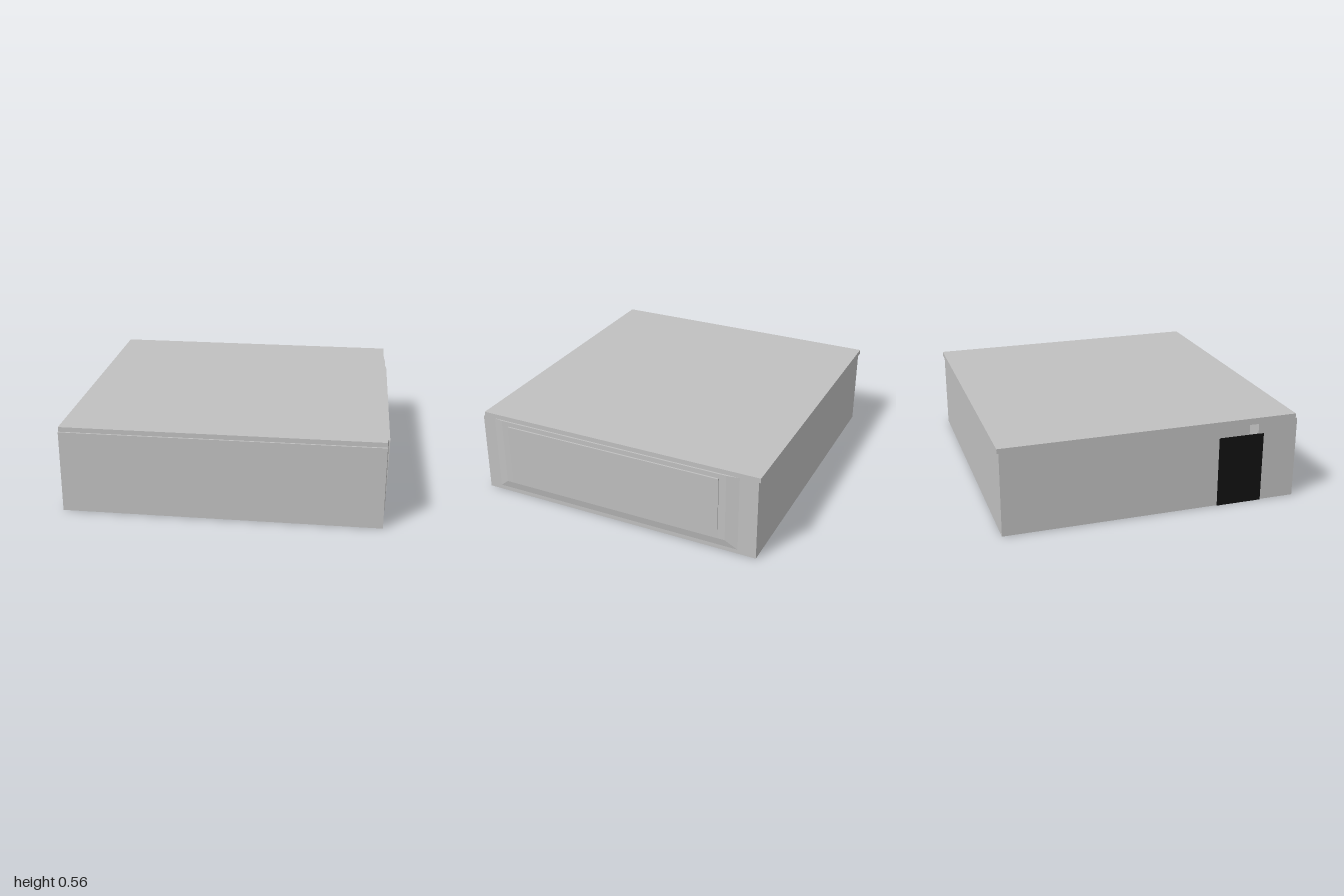
import * as THREE from 'three';

const mat = (name, color) => {
  const m = new THREE.MeshStandardMaterial({ color });
  m.name = name;
  return m;
};

export function createModel() {
  const group = new THREE.Group();
  const grey = mat('grey', 0xc0c0c0);
  const olive = mat('olive', 0xd8cfa6);
  const black = mat('black', 0x111111);

  const add = (name, geometry, material) => {
    const mesh = new THREE.Mesh(geometry, material);
    mesh.name = name;
    group.add(mesh);
    return mesh;
  };
  // Box given by its limits on each axis
  const box = (x0, x1, y0, y1, z0, z1) =>
    new THREE.BoxGeometry(x1 - x0, y1 - y0, z1 - z0)
      .translate((x0 + x1) / 2, (y0 + y1) / 2, (z0 + z1) / 2);
  const rect = (Type, a0, a1, b0, b1) => new Type([
    new THREE.Vector2(a0, b0), new THREE.Vector2(a1, b0),
    new THREE.Vector2(a1, b1), new THREE.Vector2(a0, b1)]);
  // Rectangular plate with a rectangular opening
  const frame = (outer, inner, depth) => {
    const shape = rect(THREE.Shape, ...outer);
    shape.holes.push(rect(THREE.Path, ...inner));
    return new THREE.ExtrudeGeometry(shape, { depth, bevelEnabled: false });
  };
  // Block whose outer (+x) face is a different rectangle from its base
  const taper = (x0, x1, base, face, xBottom = x1) => {
    const g = new THREE.BoxGeometry(1, 1, 1);
    const p = g.attributes.position;
    for (let i = 0; i < p.count; i++) {
      const out = p.getX(i) > 0, up = p.getY(i) > 0;
      const [y0, y1, z0, z1] = out ? face : base;
      p.setXYZ(i, out ? (up ? x1 : xBottom) : x0, up ? y1 : y0, p.getZ(i) > 0 ? z1 : z0);
    }
    g.computeVertexNormals();
    return g;
  };

  const L = -0.997, R = 0.98, B = -0.937, F = 0.945, lidY = 0.525, rimY = 0.02;

  // Main body, with a wall on the -x side that has a deep slot
  add('bodyCore', box(-0.88, R, rimY, lidY, B, F), grey);
  const wall = frame([-F, -B, rimY, lidY], [-0.685, -0.43, 0.03, 0.515], 0.117);
  wall.rotateY(Math.PI / 2).translate(L, 0, 0);
  add('slottedWall', wall, grey);

  // Rim under the body, framing a recessed base panel
  const rim = frame([L, R, B, F], [-0.88, 0.87, -0.855, 0.85], rimY - 0.002);
  rim.rotateX(Math.PI / 2).translate(0, rimY, 0);
  add('bottomRim', rim, grey);
  add('basePanel', box(-0.88, 0.87, 0.015, 0.021, -0.855, 0.85), olive);

  // Lid, set back a little from the front
  add('lid', box(L, R, lidY, 0.555, -0.948, 0.934), grey);

  // Shallow bulge on the +x side with a raised door
  add('sideBulge', taper(R - 0.005, 0.99, [0.005, lidY, -0.86, 0.89], [0.08, lidY, -0.74, 0.8]), grey);
  add('sideDoor', taper(0.985, 1, [0.085, 0.495, -0.695, 0.75], [0.085, 0.495, -0.695, 0.75], 0.993), grey);

  // Thin flap over the slot
  add('slotFlap', box(-1, -0.994, 0, 0.45, 0.425, 0.72), black);

  return group;
}
